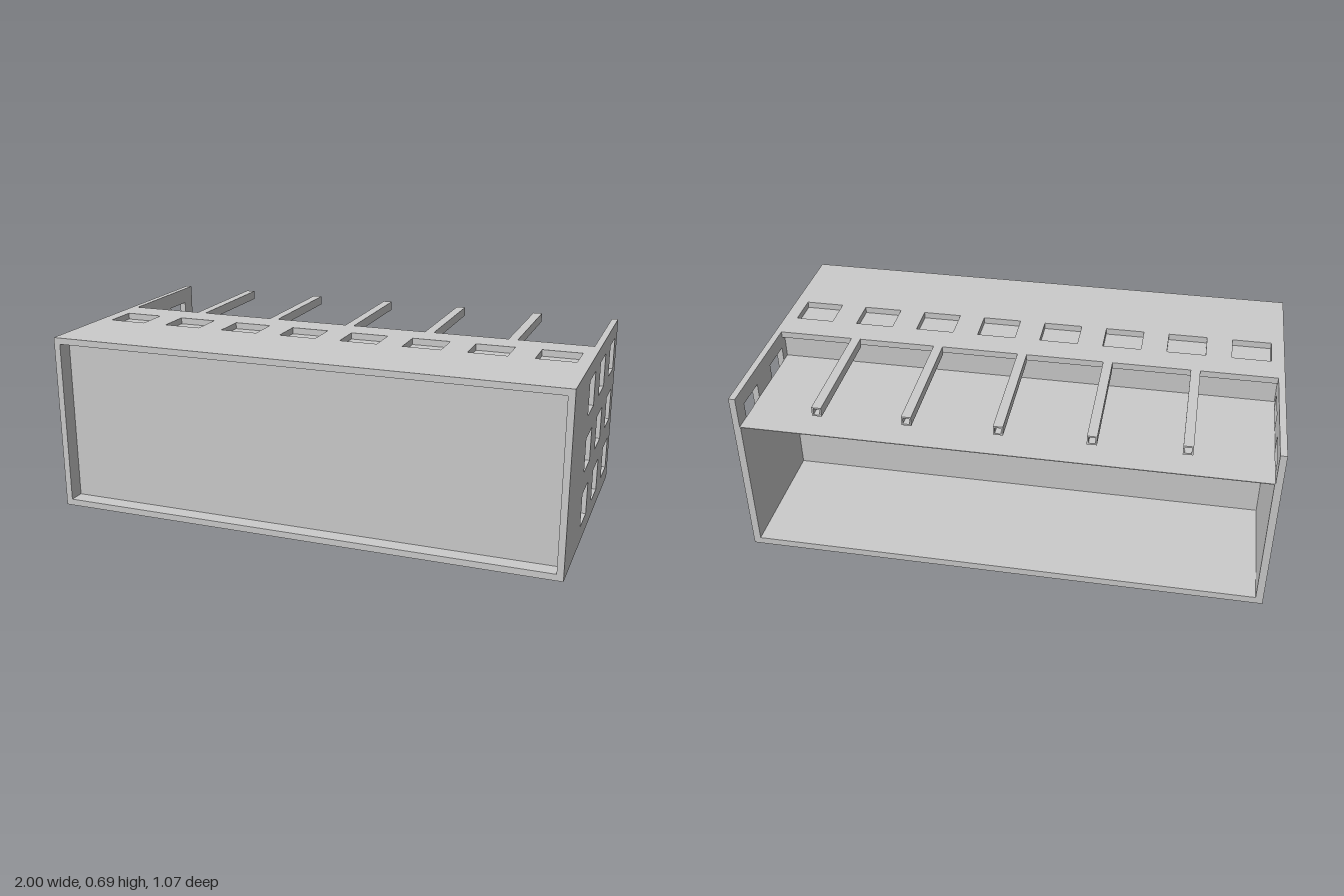
import * as THREE from 'three';

const H = 0.693, D = 0.537, T = 0.025;       // height, half depth, wall thickness
const SHELF = 0.57, MID = -0.025, EDGE = -0.05; // terrace level, inner wall, roof edge
const WIN = 0.133;                           // window size along z
const ROWS = [0.133, -0.133, -0.403];        // window centres along z

const material = new THREE.MeshStandardMaterial({ color: 0xcccccc, flatShading: true });

function rect(target, cx, cy, w, h) {
  target.moveTo(cx - w / 2, cy - h / 2);
  target.lineTo(cx + w / 2, cy - h / 2);
  target.lineTo(cx + w / 2, cy + h / 2);
  target.lineTo(cx - w / 2, cy + h / 2);
  target.closePath();
  return target;
}

// Rectangular plate [x0, x1] by [y0, y1] with holes [cx, cy, w, h]
function plate(x0, x1, y0, y1, holes, depth) {
  const shape = rect(new THREE.Shape(), (x0 + x1) / 2, (y0 + y1) / 2, x1 - x0, y1 - y0);
  for (const h of holes) shape.holes.push(rect(new THREE.Path(), ...h));
  return new THREE.ExtrudeGeometry(shape, { depth, bevelEnabled: false });
}

export function createModel() {
  const model = new THREE.Group();

  function add(name, geometry, x = 0, y = 0, z = 0) {
    const mesh = new THREE.Mesh(geometry, material);
    mesh.name = name;
    mesh.position.set(x, y, z);
    model.add(mesh);
  }
  // Box given by its limits
  function block(name, x0, x1, y0, y1, z0, z1) {
    add(name, new THREE.BoxGeometry(x1 - x0, y1 - y0, z1 - z0),
      (x0 + x1) / 2, (y0 + y1) / 2, (z0 + z1) / 2);
  }

  const columns = Array.from({ length: 8 }, (_, i) => -0.875 + i * 0.25);
  const inner = 1 - T;

  // Side walls with a three by three grid of windows
  const sideHoles = [];
  for (const z of ROWS)
    for (const y of [0.132, 0.348, 0.564]) sideHoles.push([z, y, WIN, 0.13]);
  const side = plate(-D, D, 0, H, sideHoles, T).rotateY(-Math.PI / 2);
  add('leftWall', side, 1);
  add('rightWall', side, -inner);

  // Floor with three rows of windows, roof with one
  const floorHoles = ROWS.flatMap(z => columns.map(x => [x, z, 0.15, WIN]));
  const roofHoles = columns.map(x => [x, ROWS[0], 0.15, WIN]);
  add('floor', plate(-inner, inner, -D, D, floorHoles, T).rotateX(Math.PI / 2), 0, T);
  add('roof', plate(-inner, inner, EDGE, D, roofHoles, T).rotateX(Math.PI / 2), 0, H);

  // Closed core: recessed front panel, window backs and inner wall
  block('core', -inner, inner, T, H - T, MID, 0.475);

  // Lining of the open back room and the terrace above it
  const L = 0.003;
  block('roomFloor', -inner, inner, T, T + L, -D, MID);
  for (const s of [-1, 1]) {
    const a = s * inner, b = s * (inner - L);
    block('roomSide', Math.min(a, b), Math.max(a, b), T + L, SHELF - L, -D, MID);
  }
  block('terrace', -inner, inner, SHELF - L, SHELF, -D, MID);

  // Hollow beams reaching back from the roof edge
  const B = 0.036;
  const beam = plate(-B / 2, B / 2, -B / 2, B / 2, [[0, 0, B - 0.012, B - 0.012]], D + EDGE);
  for (let i = -2; i <= 2; i++) add('beam', beam, i / 3, H - B / 2, -D);

  return model;
}
